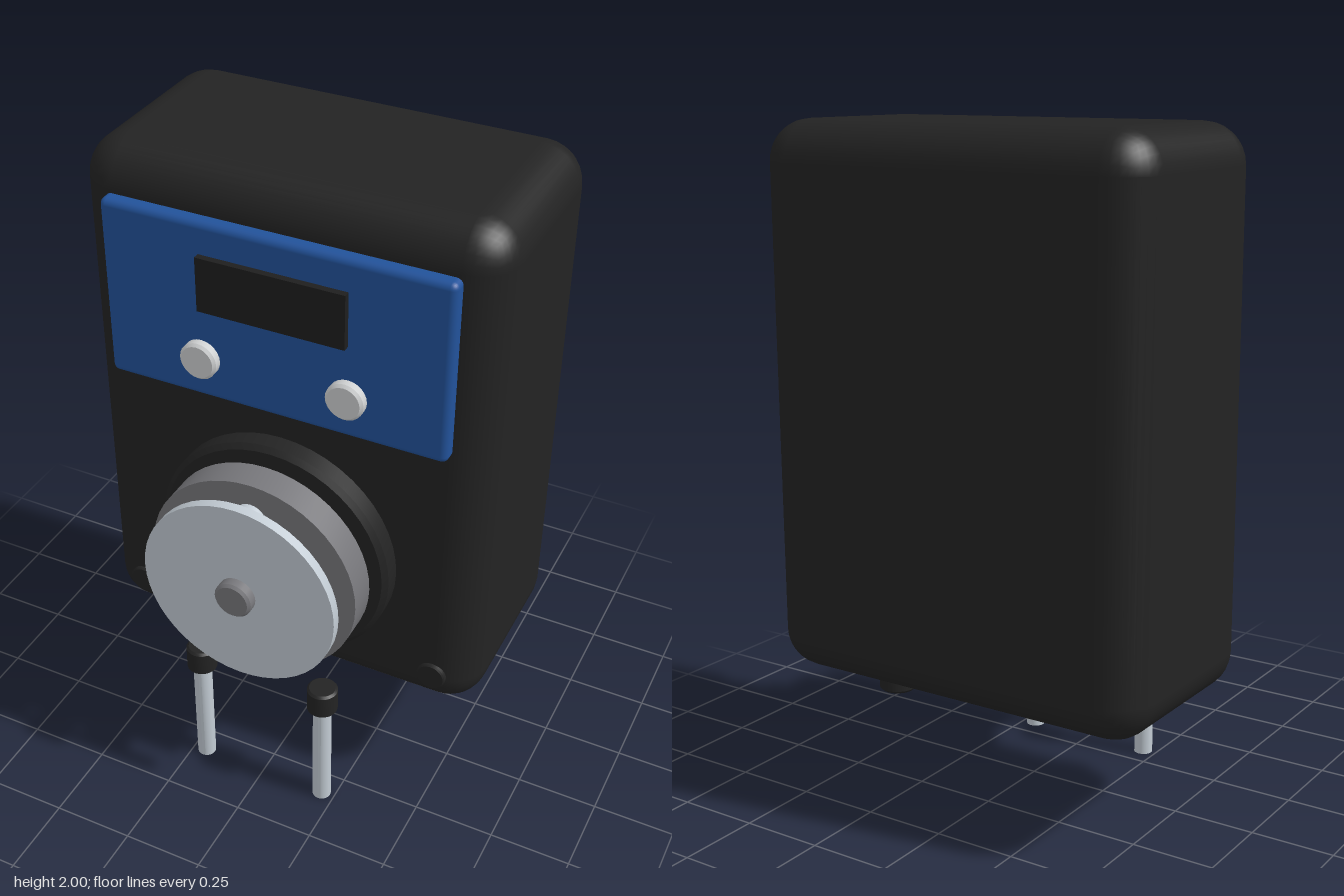
import * as THREE from 'three';
import { RoundedBoxGeometry } from 'three/addons/geometries/RoundedBoxGeometry.js';
import { toCreasedNormals } from 'three/addons/utils/BufferGeometryUtils.js';

const mat = (name, color) => new THREE.MeshStandardMaterial({ name, color });

export function createModel() {
  const black = mat('black plastic', 0x232323);
  const darkScreen = mat('dark screen', 0x1e1e1e);
  const blue = mat('blue panel', 0x22529a);
  const silver = mat('silver', 0xc2cbd3);
  const buttonGrey = mat('button grey', 0xcdcfd0);
  const steel = mat('steel grey', 0x77777b);

  const root = new THREE.Group();
  const headY = 0.855;

  function add(name, geometry, material, x, y, z) {
    const mesh = new THREE.Mesh(geometry, material);
    mesh.name = name;
    mesh.position.set(x, y, z);
    root.add(mesh);
    return mesh;
  }

  // Solid disc along y from 0 to h, with chamfers at the bottom and top edges
  function disc(r, h, bottom = 0, top = 0, sides = 32) {
    const pts = [[0, 0], [r - bottom, 0]];
    if (bottom) pts.push([r, bottom]);
    pts.push([r, h - top]);
    if (top) pts.push([r - top, h]);
    pts.push([0, h]);
    const lathe = new THREE.LatheGeometry(pts.map(p => new THREE.Vector2(...p)), sides);
    return toCreasedNormals(lathe, 0.5);
  }

  // Disc facing forward, its back at z0 and its front at z1
  function frontDisc(name, material, r, x, y, z0, z1, back = 0, front = 0, sides = 48) {
    const g = disc(r, z1 - z0, back, front, sides).rotateX(Math.PI / 2);
    return add(name, g, material, x, y, z0);
  }

  // Housing
  add('housing', new RoundedBoxGeometry(1.25, 1.625, 0.665, 4, 0.12), black, 0, 1.1875, -0.1575);

  // Control panel, screen and buttons
  add('controlPanel', new RoundedBoxGeometry(1.035, 0.55, 0.08, 3, 0.02), blue, -0.005, 1.595, 0.175);
  add('screen', new THREE.BoxGeometry(0.44, 0.165, 0.04), darkScreen, 0, 1.693, 0.215);
  for (const x of [-0.222, 0.222]) {
    frontDisc('button', buttonGrey, 0.057, x, 1.45, 0.2, 0.245, 0, 0.008, 24);
  }

  // Pump head, stacked from the housing forward
  frontDisc('mountingRing', black, 0.367, 0, headY, 0.15, 0.243, 0, 0.015);
  frontDisc('pumpHead', steel, 0.326, 0, headY, 0.235, 0.364, 0.035, 0);
  frontDisc('rotorHub', silver, 0.18, 0, headY, 0.36, 0.4);
  for (let i = 0; i < 4; i++) {
    const a = i * Math.PI / 2;
    frontDisc('roller', silver, 0.05, 0.21 * Math.cos(a), headY + 0.21 * Math.sin(a), 0.36, 0.428, 0, 0, 24);
  }
  frontDisc('rotorPlate', silver, 0.303, 0, headY, 0.425, 0.455);
  frontDisc('shaftCap', steel, 0.058, 0, headY, 0.36, 0.49, 0, 0.008, 24);

  // Front screws
  for (const x of [-0.494, 0.494]) {
    frontDisc('screw', black, 0.045, x, 0.508, 0.15, 0.187, 0, 0.004, 24);
  }

  // Hose ends with collars
  for (const x of [-0.207, 0.207]) {
    add('hose', disc(0.029, 0.4, 0, 0, 20), silver, x, 0, 0.325);
    add('hoseCollar', disc(0.047, 0.088, 0.007, 0.007, 20), black, x, 0.375, 0.325);
  }

  // Cable gland below the housing
  add('cableGland', disc(0.058, 0.18, 0.008, 0, 24), black, 0.407, 0.243, -0.157);

  return root;
}
